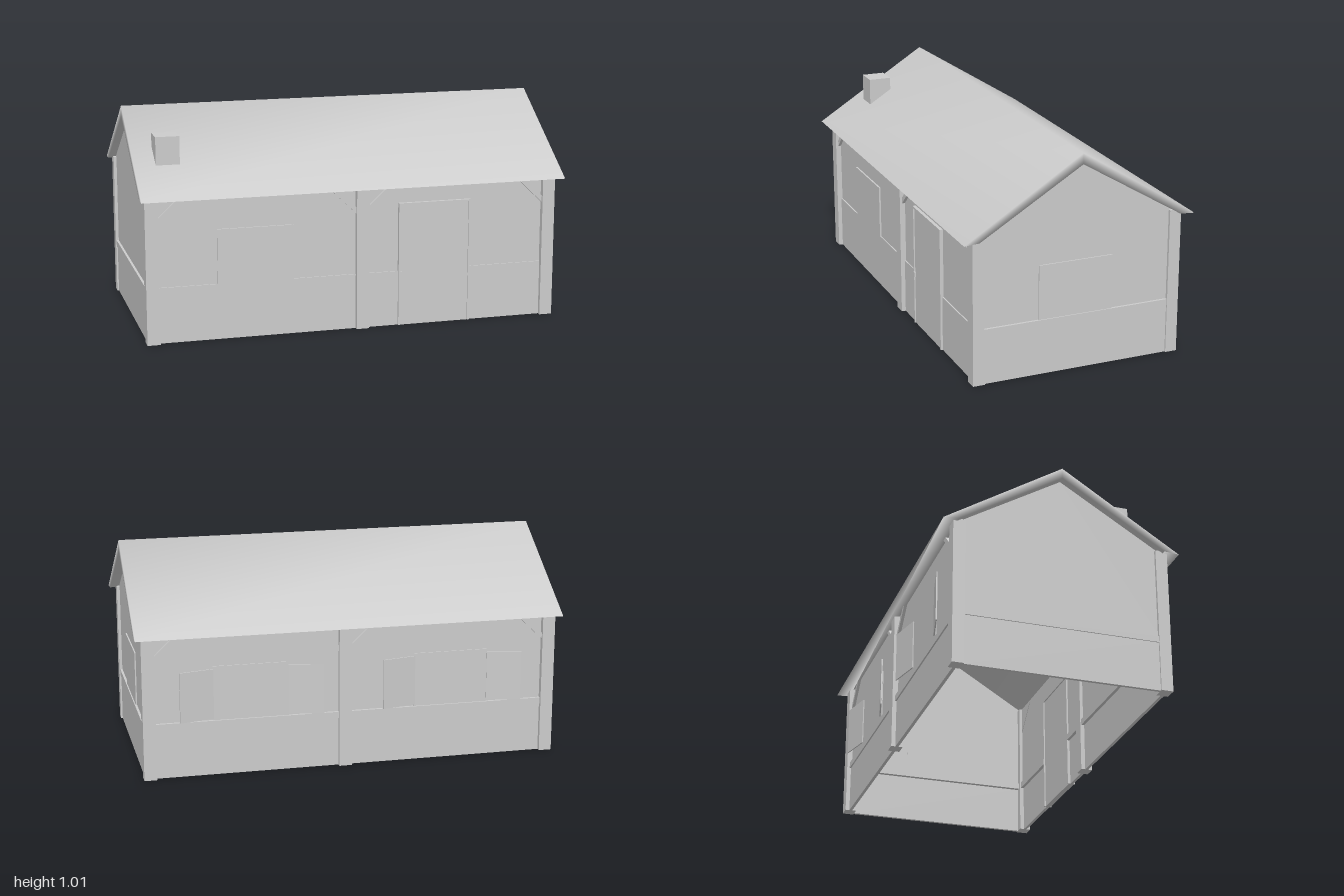
import * as THREE from 'three';
import { mergeVertices } from 'three/addons/utils/BufferGeometryUtils.js';

const material = new THREE.MeshStandardMaterial({ color: 0xcccccc, side: THREE.DoubleSide });

export function createModel() {
  const house = new THREE.Group();
  house.name = 'house';

  const add = (name, geometry, parent = house) => {
    const mesh = new THREE.Mesh(geometry, material);
    mesh.name = name;
    parent.add(mesh);
    return mesh;
  };
  // Box given by its limits along each axis
  const box = (name, [x0, x1], [y0, y1], [z0, z1], parent = house) => {
    const mesh = add(name, new THREE.BoxGeometry(x1 - x0, y1 - y0, Math.abs(z1 - z0)), parent);
    mesh.position.set((x0 + x1) / 2, (y0 + y1) / 2, (z0 + z1) / 2);
    return mesh;
  };
  const outline = (points) => new THREE.Shape(points.map(([x, y]) => new THREE.Vector2(x, y)));
  // Profile in z and y, extruded along x
  const extrudeX = (points, x0, x1) =>
    new THREE.ExtrudeGeometry(outline(points), { depth: x1 - x0, bevelEnabled: false })
      .rotateY(Math.PI / 2).translate(x0, 0, 0);

  // Gabled roof shell with softened normals
  let roof = extrudeX([[-0.55, 0.67], [0, 1.015], [0.55, 0.67], [0.48, 0.675], [0, 0.965], [-0.48, 0.675]], -1, 1);
  roof.deleteAttribute('normal');
  roof.deleteAttribute('uv');
  roof = mergeVertices(roof, 1e-4);
  roof.computeVertexNormals();
  add('roof', roof);

  box('chimney', [-0.9, -0.79], [0.79, 0.925], [0.24, 0.35]);

  // Posts and their diagonal braces
  const posts = [[-0.98, -0.92], [0, 0.06], [0.91, 0.97]];
  for (const s of [1, -1]) {
    posts.forEach((range, i) => {
      box('post', range, [0, 0.685], [s * 0.445, s * 0.5]);
      for (const d of [-1, 1]) {
        if ((i === 0 && d < 0) || (i === 2 && d > 0)) continue;
        const x = d < 0 ? range[0] : range[1];
        const shape = outline([[x, 0.55], [x + d * 0.13, 0.675], [x + d * 0.1, 0.675], [x, 0.58]]);
        const geometry = new THREE.ExtrudeGeometry(shape, { depth: 0.03, bevelEnabled: false });
        add('brace', geometry).position.z = s > 0 ? 0.458 : -0.488;
      }
    });
  }

  // Long walls: lower panel, sill beam and upper panel in each bay
  const longWall = (s, sillFace, bays) => {
    for (const bay of bays) {
      box('lowerWall', bay, [0, 0.23], [s * 0.465, s * 0.48]);
      box('sillBeam', bay, [0.23, 0.26], [s * 0.45, s * sillFace]);
      box('upperWall', bay, [0.26, 0.69], [s * 0.46, s * 0.474]);
    }
  };
  longWall(1, 0.48, [[-0.92, 0], [0.06, 0.205], [0.555, 0.91]]);
  longWall(-1, 0.487, [[-0.92, 0], [0.06, 0.91]]);
  box('wallAboveDoor', [0.205, 0.555], [0.585, 0.69], [0.46, 0.474]);

  // End walls with gables
  for (const [s, face] of [[1, 0.962], [-1, 0.972]]) {
    const slab = (outer, thick) => (s > 0 ? [outer - thick, outer] : [-outer, thick - outer]);
    add('gableWall', extrudeX([[-0.46, 0.25], [0.46, 0.25], [0.46, 0.687], [0, 0.965], [-0.46, 0.687]],
      ...slab(face - 0.006, 0.015)));
    box('lowerEndWall', slab(face, 0.015), [0, 0.235], [-0.445, 0.445]);
    box('endSillBeam', slab(face + 0.005, 0.04), [0.23, 0.26], [-0.445, 0.445]);
  }

  // Closed windows on the front and one end
  box('frontWindow', [-0.65, -0.295], [0.26, 0.515], [0.455, 0.482]);
  box('endWindow', [0.94, 0.962], [0.26, 0.515], [-0.17, 0.185]);

  // Back windows with a pair of shutters standing ajar
  for (const x of [-0.477, 0.47]) {
    box('backWindow', [x - 0.175, x + 0.175], [0.26, 0.515], [-0.479, -0.455]);
    for (const d of [-1, 1]) {
      const hinge = new THREE.Group();
      hinge.name = 'shutter';
      hinge.position.set(x + d * 0.175, 0, -0.483);
      hinge.rotation.y = d * 0.22;
      box('shutterPanel', d > 0 ? [0, 0.163] : [-0.163, 0], [0.27, 0.505], [-0.006, 0], hinge);
      house.add(hinge);
    }
  }

  // Door with a slim frame and a handle
  box('doorPanel', [0.214, 0.546], [0, 0.576], [0.458, 0.484]);
  for (const x of [0.205, 0.546]) box('doorJamb', [x, x + 0.009], [0, 0.585], [0.452, 0.49]);
  box('doorHead', [0.214, 0.546], [0.576, 0.585], [0.452, 0.49]);
  box('doorHandle', [0.213, 0.222], [0.235, 0.26], [0.484, 0.492]);

  return house;
}
